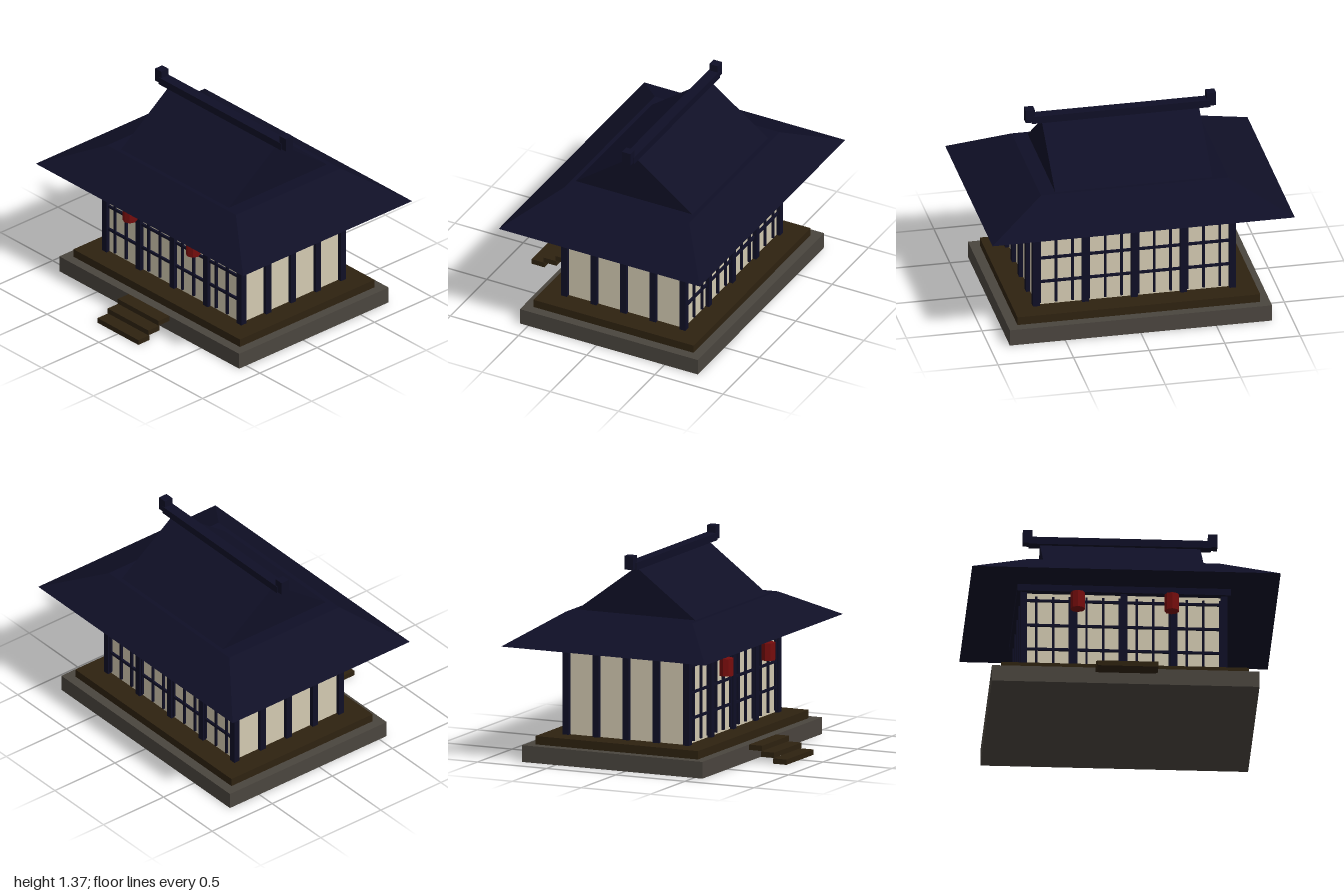
import * as THREE from 'three';

const material = (name, color) => {
  const m = new THREE.MeshStandardMaterial({ color });
  m.name = name;
  return m;
};

export function createModel() {
  const navy = material('dark navy timber and tile', 0x0f0f26);
  const cream = material('cream paper', 0xd2c9b0);
  const stone = material('grey stone', 0x4a453e);
  const wood = material('brown wood', 0x2e2210);
  const red = material('lantern red', 0x760d0d);

  const model = new THREE.Group();
  model.name = 'pavilion';
  // the house sits behind the centre to leave room for the steps
  const house = new THREE.Group();
  house.name = 'house';
  house.position.z = -0.092;
  model.add(house);

  const add = (parent, name, geometry, mat, x = 0, y = 0, z = 0) => {
    const mesh = new THREE.Mesh(geometry, mat);
    mesh.name = name;
    mesh.position.set(x, y, z);
    parent.add(mesh);
    return mesh;
  };
  // box given by its size, centre x and z, and bottom and top heights
  const box = (parent, name, mat, w, d, y0, y1, x = 0, z = 0) =>
    add(parent, name, new THREE.BoxGeometry(w, y1 - y0, d), mat, x, (y0 + y1) / 2, z);

  // platform
  box(house, 'stoneBase', stone, 1.735, 1.305, 0, 0.11);
  box(house, 'woodFloor', wood, 1.606, 1.175, 0.11, 0.165);

  // paper walls and the beam above them
  box(house, 'paperWalls', cream, 1.29, 0.86, 0.165, 0.73);
  box(house, 'topBeam', navy, 1.385, 0.957, 0.73, 0.775);

  // posts around the walls, five to each side
  const halfX = 0.65, halfZ = 0.435, postSize = 0.044;
  for (let i = 0; i < 5; i++) {
    const t = i / 2 - 1;
    for (const s of [-1, 1]) {
      box(house, 'post', navy, postSize, postSize, 0.165, 0.73, t * halfX, s * halfZ);
      if (i > 0 && i < 4) {
        box(house, 'sidePost', navy, postSize, postSize, 0.165, 0.73, s * halfX, t * halfZ);
      }
    }
  }

  // lattice on the front and back walls
  for (const s of [-1, 1]) {
    const z = s * 0.437;
    for (const y of [0.332, 0.502, 0.677]) {
      box(house, 'latticeRail', navy, 1.29, 0.016, y - 0.008, y + 0.008, 0, z);
    }
    for (let bay = 0; bay < 4; bay++) {
      for (let k = 0; k < 3; k++) {
        const x = -0.567 + bay * 0.325 + k * 0.108;
        box(house, 'latticeBar', navy, 0.015, 0.016, 0.18, 0.705, x, z);
      }
    }
  }

  // flared eaves: a box whose top is drawn inwards
  const eaves = new THREE.BoxGeometry(2, 0.19, 1.475);
  const p = eaves.attributes.position;
  for (let i = 0; i < p.count; i++) {
    if (p.getY(i) > 0) {
      p.setX(i, p.getX(i) * 0.62);
      p.setZ(i, p.getZ(i) * 0.62);
    }
  }
  eaves.computeVertexNormals();
  add(house, 'eaves', eaves, navy, 0, 0.87, 0);

  // gabled upper roof, extruded along x
  const gable = new THREE.Shape([
    new THREE.Vector2(-0.427, 0),
    new THREE.Vector2(0.427, 0),
    new THREE.Vector2(0, 0.315),
  ]);
  const gableGeometry = new THREE.ExtrudeGeometry(gable, { depth: 1.04, bevelEnabled: false });
  gableGeometry.translate(0, 0, -0.52);
  gableGeometry.rotateY(Math.PI / 2);
  add(house, 'gableRoof', gableGeometry, navy, 0, 0.965, 0);

  // ridge with raised end blocks
  box(house, 'ridge', navy, 1.18, 0.072, 1.272, 1.322);
  for (const s of [-1, 1]) {
    box(house, 'ridgeEnd', navy, 0.06, 0.062, 1.28, 1.37, s * 0.6);
  }

  // hanging lanterns
  for (const s of [-1, 1]) {
    const lantern = new THREE.CylinderGeometry(0.048, 0.048, 0.115, 8).toNonIndexed();
    lantern.computeVertexNormals();
    add(model, 'lantern', lantern, red, s * 0.305, 0.633, 0.453);
  }

  // open steps
  for (let i = 0; i < 3; i++) {
    const y = i * 0.038;
    box(model, 'step', wood, 0.394, 0.095, y, y + 0.035, 0, 0.786 - i * 0.088);
  }

  return model;
}
